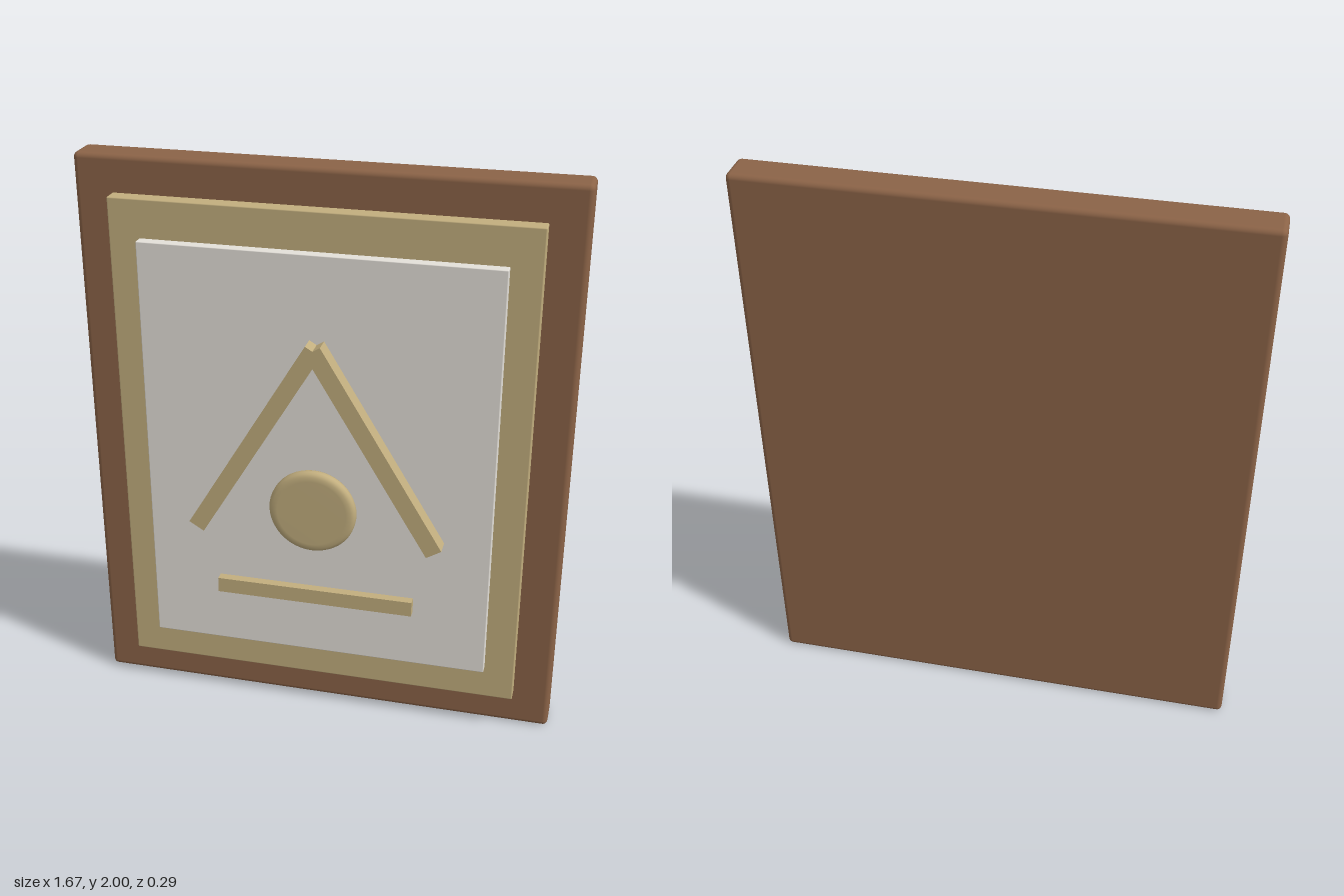
import * as THREE from 'three';
import { RoundedBoxGeometry } from 'three/addons/geometries/RoundedBoxGeometry.js';

export function createModel() {
  const group = new THREE.Group();
  const material = (name, color) => {
    const m = new THREE.MeshStandardMaterial({ color });
    m.name = name;
    return m;
  };
  const wood = material('brown wood', 0x8b6347);
  const brass = material('pale brass', 0xc2ae7e);
  const ivory = material('light panel', 0xe4e0d9);

  const add = (name, geometry, mat, x, y, z) => {
    const mesh = new THREE.Mesh(geometry, mat);
    mesh.name = name;
    mesh.position.set(x, y, z);
    group.add(mesh);
    return mesh;
  };

  // Slab between two heights and two depths, with softened edges
  const slab = (name, mat, width, y0, y1, z0, z1, radius) =>
    add(name, new RoundedBoxGeometry(width, y1 - y0, z1 - z0, 3, radius), mat,
      0, (y0 + y1) / 2, (z0 + z1) / 2);

  // Stacked backing layers
  slab('backBoard', wood, 1.67, 0, 2, -0.146, -0.024, 0.018);
  slab('brassPlate', brass, 1.412, 0.135, 1.875, -0.03, 0.029, 0.004);
  slab('facePanel', ivory, 1.204, 0.26, 1.745, 0.02, 0.065, 0.003);

  // Two slanted arms meeting at the top
  for (const side of [1, -1]) {
    const arm = add(side > 0 ? 'leftArm' : 'rightArm',
      new THREE.BoxGeometry(0.06, 0.81, 0.06), brass, side * 0.208, 1.097, 0.094);
    arm.rotation.z = side * 0.542;
  }

  // Round boss with a rounded rim
  const rim = [[0, -0.021], [0.136, -0.021], [0.146, -0.017], [0.15, -0.008],
    [0.15, 0.006], [0.146, 0.014], [0.136, 0.02], [0.12, 0.021], [0, 0.021]];
  const boss = add('roundBoss',
    new THREE.LatheGeometry(rim.map(([r, h]) => new THREE.Vector2(r, h)), 48),
    brass, 0, 0.865, 0.125);
  boss.rotation.x = Math.PI / 2;

  // Crossbar below the boss
  add('lowerBar', new THREE.BoxGeometry(0.694, 0.055, 0.031), brass, 0, 0.518, 0.104);

  return group;
}
